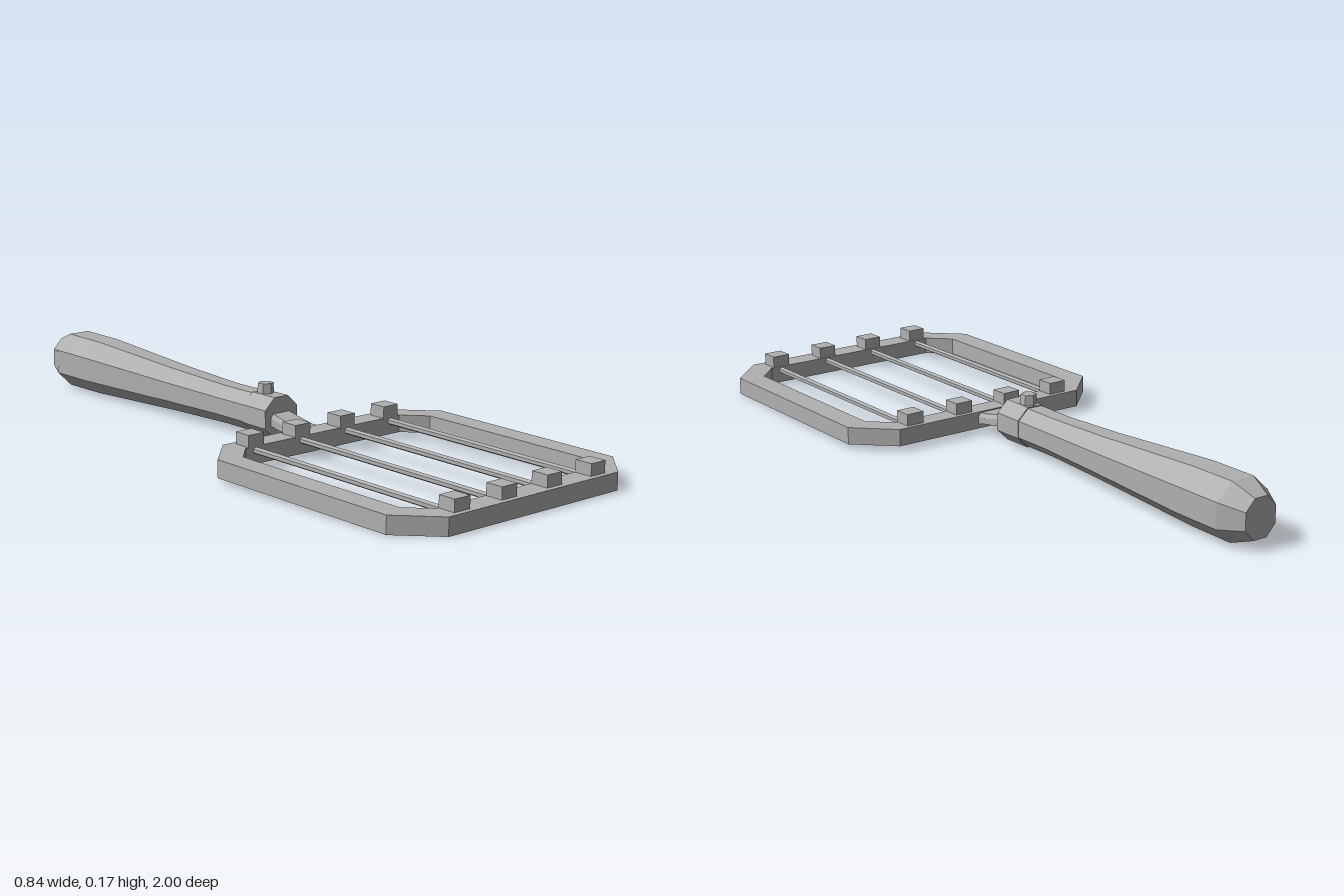
import * as THREE from 'three';

const grey = new THREE.MeshStandardMaterial({ color: 0xb0b0b0 });

// Flat-faced mesh
function part(name, geometry, parent) {
  const g = geometry.index ? geometry.toNonIndexed() : geometry;
  g.computeVertexNormals();
  const mesh = new THREE.Mesh(g, grey);
  mesh.name = name;
  parent.add(mesh);
  return mesh;
}

// The head rises gently toward the handle
function slope(geometry) {
  const p = geometry.attributes.position;
  for (let i = 0; i < p.count; i++) p.setY(i, p.getY(i) + 0.018 * (1 - p.getZ(i)));
  return geometry;
}

// Skin over rings listed from +z to -z, each counter-clockwise seen from +z, with end caps
function loft(rings) {
  const n = rings[0].length, index = [];
  for (let r = 0; r < rings.length - 1; r++) {
    for (let i = 0; i < n; i++) {
      const a = r * n + i, b = r * n + (i + 1) % n;
      index.push(a, a + n, b, b, a + n, b + n);
    }
  }
  const last = (rings.length - 1) * n;
  for (let i = 1; i < n - 1; i++) {
    index.push(0, i, i + 1, last, last + i + 1, last + i);
  }
  const g = new THREE.BufferGeometry();
  g.setAttribute('position', new THREE.Float32BufferAttribute(rings.flat(2), 3));
  g.setIndex(index);
  return g;
}

// Octagonal section: z, half width, bottom, top
function octagon([z, w, b, t]) {
  const h = t - b, k = w * 0.42, lo = b + h * 0.28, hi = b + h * 0.72;
  return [[k, b, z], [w, lo, z], [w, hi, z], [k, t, z],
    [-k, t, z], [-w, hi, z], [-w, lo, z], [-k, b, z]];
}

// Rectangle with cut corners
function cutRect(Target, x, z0, z1, c) {
  const pts = [[x - c, z0], [x, z0 + c], [x, z1 - c], [x - c, z1],
    [c - x, z1], [-x, z1 - c], [-x, z0 + c], [c - x, z0]];
  return new Target(pts.map(([px, pz]) => new THREE.Vector2(px, pz)));
}

export function createModel() {
  const model = new THREE.Group();
  model.name = 'grillTool';

  // Head frame
  const outline = cutRect(THREE.Shape, 0.42, 0.155, 1, 0.106);
  outline.holes.push(cutRect(THREE.Path, 0.35, 0.22, 0.93, 0.062));
  const frame = new THREE.ExtrudeGeometry(outline, { depth: 0.05, bevelEnabled: false });
  frame.rotateX(Math.PI / 2).translate(0, 0.05, 0);
  part('frame', slope(frame), model);

  // Bars and the blocks holding their ends
  for (const x of [-0.252, -0.084, 0.084, 0.252]) {
    const rod = new THREE.CylinderGeometry(0.01, 0.01, 0.75, 6);
    rod.rotateX(Math.PI / 2).translate(x, 0.038, 0.575);
    part('bar', slope(rod), model);
    for (const z of [0.195, 0.958]) {
      const block = new THREE.BoxGeometry(0.055, 0.038, 0.053);
      part('barBlock', slope(block.translate(x, 0.065, z)), model);
    }
  }

  // Neck: z, half width, bottom, top
  const neck = [[0.18, 0.048, 0.025, 0.06], [0.13, 0.04, 0.034, 0.064], [0.02, 0.038, 0.052, 0.088]];
  part('neck', loft(neck.map(([z, w, b, t]) => [
    [w, b, z], [w, t - 0.012, z], [w - 0.008, t, z],
    [8e-3 - w, t, z], [-w, t - 0.012, z], [-w, b, z],
  ])), model);

  // Collar and handle
  part('collar', loft([[0.037, 0.06, 0.011, 0.131], [-0.06, 0.058, 0.013, 0.131]].map(octagon)), model);
  part('handle', loft([
    [-0.055, 0.056, 0.016, 0.128],
    [-0.18, 0.055, 0.018, 0.129],
    [-0.4, 0.064, 0.015, 0.14],
    [-0.78, 0.084, 0.005, 0.167],
    [-0.93, 0.084, 0.006, 0.17],
    [-1, 0.05, 0.03, 0.142],
  ].map(octagon)), model);

  // Pin on top of the collar
  const pin = new THREE.CylinderGeometry(0.022, 0.026, 0.04, 6);
  part('pin', pin.translate(0, 0.14, -0.03), model);

  return model;
}
